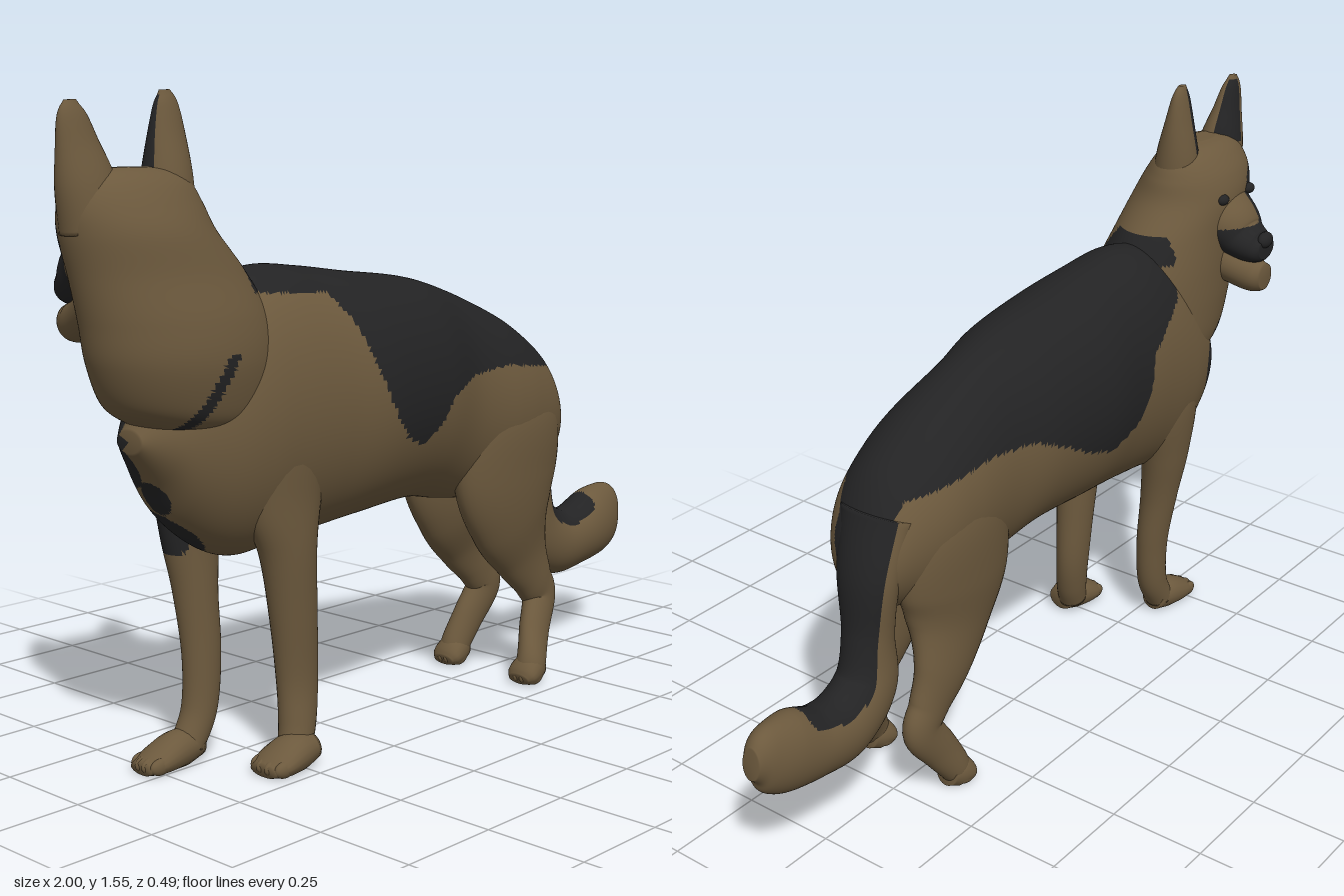
import * as THREE from 'three';

const tan = new THREE.MeshStandardMaterial({ color: 0x6c593d });
tan.name = 'tan fur';
const black = new THREE.MeshStandardMaterial({ color: 0x232324 });
black.name = 'black fur';

// Smooth skin through elliptical rings [x, y, z, a, b]: a lies in the xy plane, b along z.
// paint(centre of face, angle round the ring, t along the path) is true where the fur is black.
// axis, when given, keeps all rings square to that direction.
function loft(name, rows, { steps = 48, sides = 32, axis = null, paint = () => false } = {}) {
  const path = new THREE.CatmullRomCurve3(rows.map(r => new THREE.Vector3(r[0], r[1], r[2])), false, 'catmullrom', 0.5);
  const size = new THREE.CatmullRomCurve3(rows.map(r => new THREE.Vector3(r[3], r[4], 0)), false, 'catmullrom', 0.5);
  const pts = [];
  for (let i = 0; i <= steps + 2; i++) {
    const t = Math.min(Math.max((i - 1) / steps, 0), 1);
    const c = path.getPoint(t), d = axis || path.getTangent(t), s = size.getPoint(t);
    const len = Math.hypot(d.x, d.y) || 1;
    const k = i === 0 || i === steps + 2 ? 0.001 : 1; // closes the ends
    for (let j = 0; j < sides; j++) {
      const w = (j / sides) * Math.PI * 2, u = s.x * k * Math.cos(w);
      pts.push(new THREE.Vector3(c.x - (d.y / len) * u, Math.max(0, c.y + (d.x / len) * u), c.z + s.y * k * Math.sin(w)));
    }
  }
  const faces = [[], []];
  const mid = new THREE.Vector3();
  for (let i = 0; i < steps + 2; i++) {
    for (let j = 0; j < sides; j++) {
      const a = i * sides + j, b = i * sides + (j + 1) % sides, c = a + sides, d = b + sides;
      for (const f of [[a, b, c], [b, d, c]]) {
        mid.set(0, 0, 0);
        f.forEach(v => mid.addScaledVector(pts[v], 1 / 3));
        faces[paint(mid, ((j + 0.5) / sides) * Math.PI * 2, i / (steps + 2)) ? 1 : 0].push(...f);
      }
    }
  }
  const geo = new THREE.BufferGeometry().setFromPoints(pts);
  geo.setIndex([...faces[0], ...faces[1]]);
  geo.addGroup(0, faces[0].length, 0);
  geo.addGroup(faces[0].length, faces[1].length, 1);
  geo.computeVertexNormals();
  const mesh = new THREE.Mesh(geo, [tan, black]);
  mesh.name = name;
  return mesh;
}

function ball(name, material, x, y, z, rx, ry, rz) {
  const mesh = new THREE.Mesh(new THREE.SphereGeometry(1, 20, 14), material);
  mesh.name = name;
  mesh.position.set(x, y, z);
  mesh.scale.set(rx, ry, rz);
  return mesh;
}

// Rings given by their extents, standing across x or lying across y
const across = ([x, y0, y1, z0, z1]) => [x, (y0 + y1) / 2, (z0 + z1) / 2, (y1 - y0) / 2, (z1 - z0) / 2];
const level = ([y, x0, x1, z0, z1]) => [(x0 + x1) / 2, y, (z0 + z1) / 2, (x1 - x0) / 2, (z1 - z0) / 2];
const near = (p, x, y, z, r) => Math.hypot(p.x - x, p.y - y, p.z - z) < r;

// Lower edge of the black saddle on each flank
const rump = [[0.1, 0.852], [0.25, 0.866], [0.385, 0.85], [0.5, 0.835], [0.55, 0.78], [0.58, 0.7], [0.6, 0.6], [0.7, 0.5]];
const leftEdge = [[-0.57, 1.1], [-0.36, 1.09], [-0.31, 1.01], [-0.28, 0.92], [-0.23, 0.81], [-0.18, 0.74],
  [-0.11, 0.71], [-0.04, 0.755], [0, 0.81], ...rump];
const rightEdge = [[-0.62, 1.1], [-0.56, 1.02], [-0.47, 0.97], [-0.4, 0.92], [-0.37, 0.82], [-0.32, 0.755],
  [-0.2, 0.72], [-0.1, 0.755], [0, 0.81], ...rump];
function inSaddle(p) {
  const edge = p.z > 0.02 ? leftEdge : rightEdge;
  for (let i = 1; i < edge.length; i++) {
    const [x0, y0] = edge[i - 1], [x1, y1] = edge[i];
    if (p.x >= x0 && p.x < x1) return p.y > y0 + ((y1 - y0) * (p.x - x0)) / (x1 - x0);
  }
  return false;
}

function addPaw(g, name, heel, toe, z, w) {
  const l = heel - toe;
  g.add(loft(name, [[heel, 0.04, z, 0.035, w * 0.7], [heel - l * 0.35, 0.035, z, 0.045, w * 0.95],
    [heel - l * 0.7, 0.022, z, 0.032, w], [toe + 0.01, 0.014, z, 0.015, w * 0.7]], { steps: 16, sides: 20 }));
  for (let i = 0; i < 4; i++) {
    const o = i - 1.5;
    g.add(ball(name + 'Toe', tan, toe + 0.03 + Math.abs(o) * 0.008, 0.02, z + o * w * 0.45, 0.03, 0.02, w * 0.27));
  }
}

function addHead(g) {
  // Neck, ruff and skull in one skin, with a dark cheek, throat and nape
  g.add(loft('neckAndSkull', [
    [0.805, -0.78, -0.56, -0.09, 0.13], [0.825, -0.84, -0.5, -0.12, 0.165], [0.87, -0.9, -0.46, -0.135, 0.185],
    [0.96, -0.94, -0.46, -0.14, 0.2], [1.05, -0.955, -0.48, -0.14, 0.19], [1.15, -0.97, -0.535, -0.14, 0.16],
    [1.24, -0.985, -0.605, -0.145, 0.138], [1.3, -0.985, -0.63, -0.13, 0.11], [1.345, -0.965, -0.655, -0.1, 0.08],
    [1.37, -0.93, -0.7, -0.07, 0.05], [1.38, -0.88, -0.76, -0.04, 0.02],
  ].map(level), {
    steps: 130, sides: 110, axis: new THREE.Vector3(0, 1, 0),
    paint: p => near(p, -0.92, 1.225, -0.1, 0.075) || near(p, -0.85, 1.15, -0.16, 0.09) ||
      near(p, -0.8, 0.82, -0.1, 0.075) || (p.x > -0.58 && p.y > 1.1 && p.y < 1.17) ||
      (p.z > 0 && p.y < 0.98 && Math.abs(p.x + 0.74 - (p.y - 0.9) * 0.53) < 0.016),
  }));

  // Face, built facing +x and turned to face -z; its right cheek is dark up to the eye
  const face = new THREE.Group();
  face.name = 'face';
  face.position.x = -0.81;
  face.rotation.y = Math.PI / 2;
  face.add(loft('muzzle', [[0.06, 1.19, 0, 0.105, 0.125], [0.12, 1.16, 0, 0.08, 0.1], [0.165, 1.127, -0.005, 0.057, 0.078],
    [0.21, 1.113, 0, 0.045, 0.058], [0.238, 1.113, 0, 0.03, 0.038]],
  { sides: 56, paint: p => p.x > 0.11 && (p.y < 1.17 || p.z < -0.035) }));
  face.add(loft('lowerJaw', [[0.07, 1.085, 0, 0.075, 0.09], [0.15, 1.05, 0, 0.055, 0.065],
    [0.205, 1.032, 0, 0.048, 0.048], [0.24, 1.032, 0, 0.036, 0.032]], { steps: 24 }));
  face.add(ball('nose', black, 0.232, 1.135, 0, 0.018, 0.022, 0.03));
  for (const s of [-1, 1]) face.add(ball('eye', black, 0.133, 1.245, s * 0.066, 0.017, 0.015, 0.021));
  g.add(face);

  // Upright ears with dark hollows facing forward and inward
  const along = t => t > 0.25 && t < 0.9;
  g.add(loft('rightEar', [[-0.915, 1.25, -0.005, 0.075, 0.07], [-0.93, 1.35, -0.01, 0.07, 0.055],
    [-0.945, 1.43, -0.015, 0.052, 0.034], [-0.955, 1.49, -0.018, 0.036, 0.02], [-0.957, 1.522, -0.02, 0.015, 0.008]],
  { paint: (p, w, t) => along(t) && Math.cos(w) < 0.2 && Math.sin(w) < -0.1 }));
  g.add(loft('leftEar', [[-0.715, 1.25, -0.005, 0.07, 0.07], [-0.705, 1.36, -0.01, 0.06, 0.055],
    [-0.7, 1.45, -0.015, 0.047, 0.034], [-0.698, 1.515, -0.018, 0.032, 0.019], [-0.7, 1.546, -0.02, 0.014, 0.008]],
  { paint: (p, w, t) => along(t) && Math.cos(w) > 0.1 && Math.sin(w) < 0.35 }));
}

export function createModel() {
  const g = new THREE.Group();
  g.name = 'dog';

  // Torso with the saddle and dark chest marks
  g.add(loft('torso', [
    [-0.845, 0.76, 0.81, -0.03, 0.05], [-0.79, 0.68, 0.88, -0.09, 0.11], [-0.74, 0.59, 0.97, -0.125, 0.145],
    [-0.66, 0.52, 1.06, -0.15, 0.185], [-0.58, 0.49, 1.13, -0.16, 0.205], [-0.48, 0.5, 1.155, -0.165, 0.215],
    [-0.35, 0.515, 1.145, -0.17, 0.225], [-0.2, 0.53, 1.125, -0.18, 0.24], [0, 0.54, 1.1, -0.165, 0.22],
    [0.15, 0.515, 1.06, -0.14, 0.19], [0.3, 0.5, 1.0, -0.14, 0.2], [0.4, 0.51, 0.95, -0.135, 0.19],
    [0.5, 0.53, 0.88, -0.11, 0.16], [0.565, 0.57, 0.79, -0.08, 0.11], [0.6, 0.62, 0.71, -0.03, 0.04],
  ].map(across), {
    steps: 200, sides: 140, axis: new THREE.Vector3(1, 0, 0),
    paint: p => inSaddle(p) || near(p, -0.78, 0.76, -0.08, 0.1) || near(p, -0.7, 0.55, -0.02, 0.08) ||
      near(p, -0.77, 0.65, 0.01, 0.045),
  }));

  addHead(g);

  // Tail, black along its upper side
  g.add(loft('tail', [
    [0.51, 0.79, 0.01, 0.06, 0.1], [0.56, 0.65, 0, 0.06, 0.085], [0.575, 0.5, -0.005, 0.062, 0.065],
    [0.595, 0.375, -0.01, 0.085, 0.07], [0.68, 0.307, -0.01, 0.093, 0.075], [0.78, 0.307, -0.01, 0.09, 0.075],
    [0.88, 0.335, -0.01, 0.1, 0.07], [0.95, 0.36, -0.015, 0.08, 0.05], [0.993, 0.365, -0.02, 0.04, 0.025],
  ], { steps: 100, sides: 64, paint: (p, w) => Math.cos(w) > 0.45 + Math.max(0, p.x - 0.6) && p.x < 0.83 }));

  // Front legs
  g.add(loft('leftFrontLeg', [
    [-0.5, 0.92, 0.1, 0.1, 0.06], [-0.5, 0.78, 0.12, 0.14, 0.08], [-0.5, 0.62, 0.132, 0.11, 0.066],
    [-0.49, 0.5, 0.14, 0.075, 0.058], [-0.475, 0.35, 0.14, 0.062, 0.05], [-0.465, 0.2, 0.14, 0.055, 0.043],
    [-0.475, 0.1, 0.15, 0.048, 0.042], [-0.495, 0.03, 0.16, 0.04, 0.04]]));
  addPaw(g, 'leftFrontPaw', -0.46, -0.62, 0.175, 0.058);
  g.add(loft('rightFrontLeg', [
    [-0.58, 0.85, -0.06, 0.1, 0.07], [-0.59, 0.7, -0.08, 0.11, 0.07], [-0.6, 0.54, -0.075, 0.08, 0.06],
    [-0.6, 0.4, -0.06, 0.057, 0.05], [-0.597, 0.25, -0.045, 0.05, 0.042], [-0.61, 0.12, -0.04, 0.045, 0.04],
    [-0.65, 0.035, -0.04, 0.04, 0.04]], { steps: 64, sides: 48, paint: p => near(p, -0.69, 0.56, -0.06, 0.075) }));
  addPaw(g, 'rightFrontPaw', -0.62, -0.8, -0.04, 0.05);

  // Hind legs: thigh, hock and pastern, stepping to each side of the centre line
  for (const [side, zThigh, zHock, zFoot] of [['left', 0.12, 0.11, 0.165], ['right', -0.065, -0.085, -0.1]]) {
    g.add(loft(side + 'HindLeg', [
      [0.35, 0.86, zThigh * 0.85, 0.1, 0.05], [0.335, 0.72, zThigh, 0.18, 0.078], [0.325, 0.57, zThigh, 0.19, 0.078],
      [0.35, 0.45, zThigh, 0.15, 0.065], [0.405, 0.34, zHock, 0.097, 0.048], [0.455, 0.26, zHock, 0.066, 0.04],
      [0.482, 0.205, zHock, 0.058, 0.038], [0.43, 0.125, (zHock + zFoot) / 2, 0.052, 0.036],
      [0.385, 0.055, zFoot, 0.044, 0.038], [0.367, 0.015, zFoot, 0.036, 0.038]], { steps: 64, sides: 40 }));
    addPaw(g, side + 'HindPaw', 0.41, 0.32, zFoot, 0.045);
  }
  return g;
}
